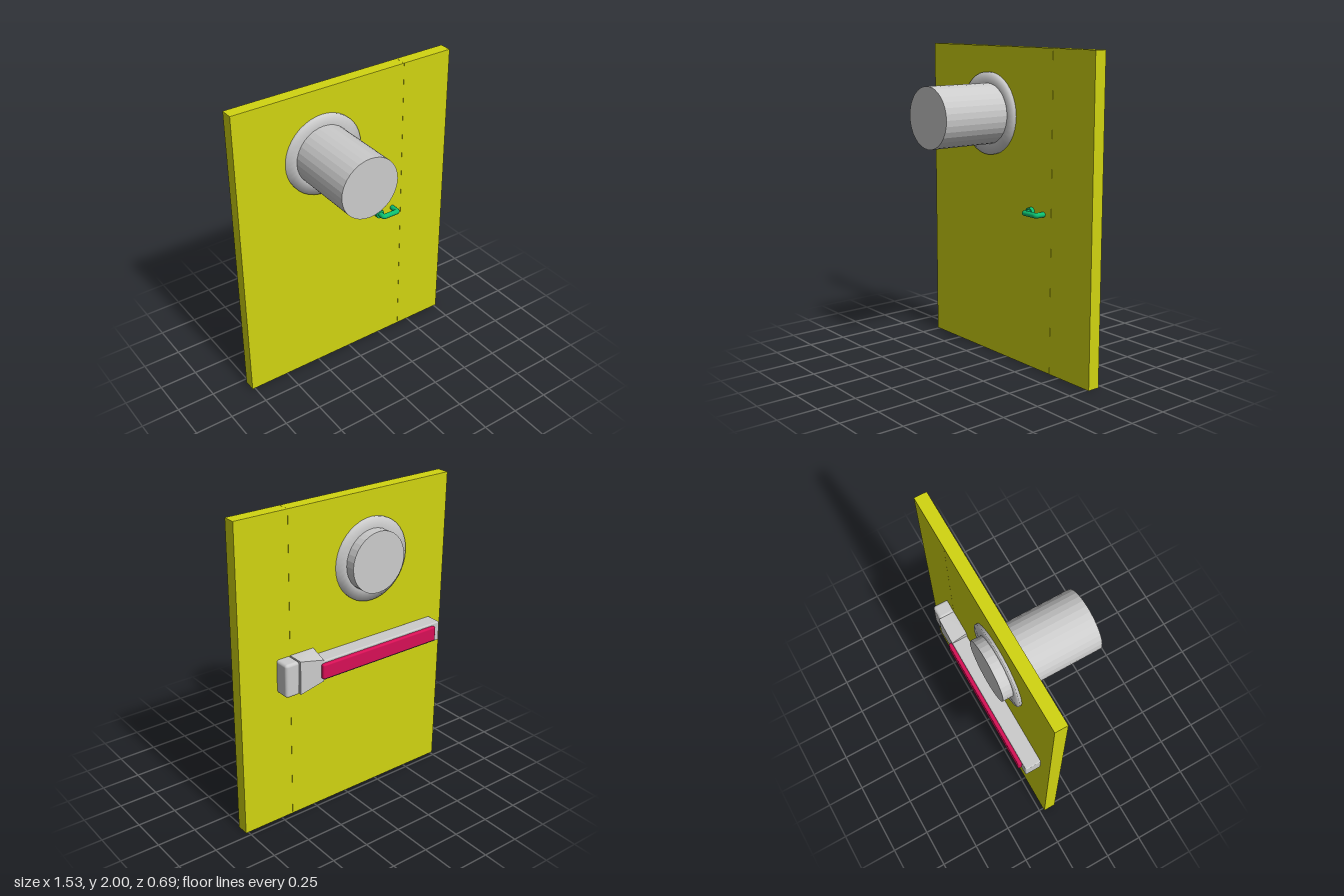
import * as THREE from 'three';
import { RoundedBoxGeometry } from 'three/addons/geometries/RoundedBoxGeometry.js';

const material = (color, flatShading = false) => {
  const m = new THREE.MeshStandardMaterial({ color });
  m.flatShading = flatShading;
  return m;
};

export function createModel() {
  const model = new THREE.Group();
  const grey = material(0xcccccc);
  const greyFlat = material(0xcccccc, true);
  const yellow = material(0xd1d411);
  const green = material(0x0cc070);
  const red = material(0xd81056);

  const add = (parent, name, geometry, mat) => {
    const mesh = new THREE.Mesh(geometry, mat);
    mesh.name = name;
    parent.add(mesh);
    return mesh;
  };
  // Centre a geometry inside the given bounds
  const between = (make, x0, x1, y0, y1, z0, z1) =>
    make(x1 - x0, y1 - y0, z1 - z0).translate((x0 + x1) / 2, (y0 + y1) / 2, (z0 + z1) / 2);
  const box = (w, h, d) => new THREE.BoxGeometry(w, h, d);
  const rounded = (r) => (w, h, d) => new RoundedBoxGeometry(w, h, d, 3, r);

  // Door leaf and the narrow strip beside it
  add(model, 'doorPanel', between(box, -0.767, 0.417, 0, 2, -0.22, -0.14), yellow);
  add(model, 'sideStrip', between(box, 0.418, 0.767, 0, 2, -0.22, -0.14), yellow);

  // Duct through the door with a softly shaded collar
  const duct = new THREE.Group();
  duct.name = 'ventDuct';
  duct.position.set(-0.175, 1.575, 0);
  model.add(duct);
  add(duct, 'pipe', new THREE.CylinderGeometry(0.193, 0.193, 0.64, 32)
    .rotateX(Math.PI / 2).translate(0, 0, 0.02), greyFlat);
  const collar = [[0.19, -0.236], [0.262, -0.236], [0.262, -0.123], [0.19, -0.123]]
    .map(([r, z]) => new THREE.Vector2(r, z));
  add(duct, 'collar', new THREE.LatheGeometry(collar, 40).rotateX(Math.PI / 2), grey);

  // Push bar across the back
  const pushBar = new THREE.Group();
  pushBar.name = 'pushBar';
  model.add(pushBar);
  add(pushBar, 'barHousing', between(rounded(0.008), -0.67, 0.26, 0.935, 1.065, -0.322, -0.218), grey);
  add(pushBar, 'pressStrip', between(rounded(0.01), -0.62, 0.267, 0.953, 1.05, -0.345, -0.31), red);

  // Latch head: its outer edge narrows toward the bar
  const head = between(box, 0.25, 0.417, 0.895, 1.11, -0.324, -0.22);
  const p = head.attributes.position;
  for (let i = 0; i < p.count; i++) {
    if (p.getX(i) < 0.3 && p.getZ(i) < -0.3) p.setY(i, 1 + (p.getY(i) - 1) * 0.65);
  }
  head.computeVertexNormals();
  add(pushBar, 'latchHead', head, grey);
  add(pushBar, 'strikeBlock', between(rounded(0.018), 0.417, 0.514, 0.895, 1.11, -0.318, -0.21), grey);

  // Pull handle on the front: rosette and bent rod
  const handle = new THREE.Group();
  handle.name = 'handle';
  handle.position.y = 1.002;
  model.add(handle);
  add(handle, 'rosette', new THREE.CylinderGeometry(0.029, 0.029, 0.03, 24)
    .rotateX(Math.PI / 2).translate(0.238, 0, -0.13), green);
  const v = (x, z) => new THREE.Vector3(x, 0, z);
  const path = new THREE.CurvePath();
  path.add(new THREE.LineCurve3(v(0.238, -0.15), v(0.238, -0.09)));
  path.add(new THREE.QuadraticBezierCurve3(v(0.238, -0.09), v(0.238, -0.079), v(0.249, -0.079)));
  path.add(new THREE.LineCurve3(v(0.249, -0.079), v(0.337, -0.079)));
  path.add(new THREE.QuadraticBezierCurve3(v(0.337, -0.079), v(0.348, -0.079), v(0.348, -0.09)));
  path.add(new THREE.LineCurve3(v(0.348, -0.09), v(0.348, -0.142)));
  add(handle, 'rod', new THREE.TubeGeometry(path, 60, 0.017, 12), green);

  return model;
}
